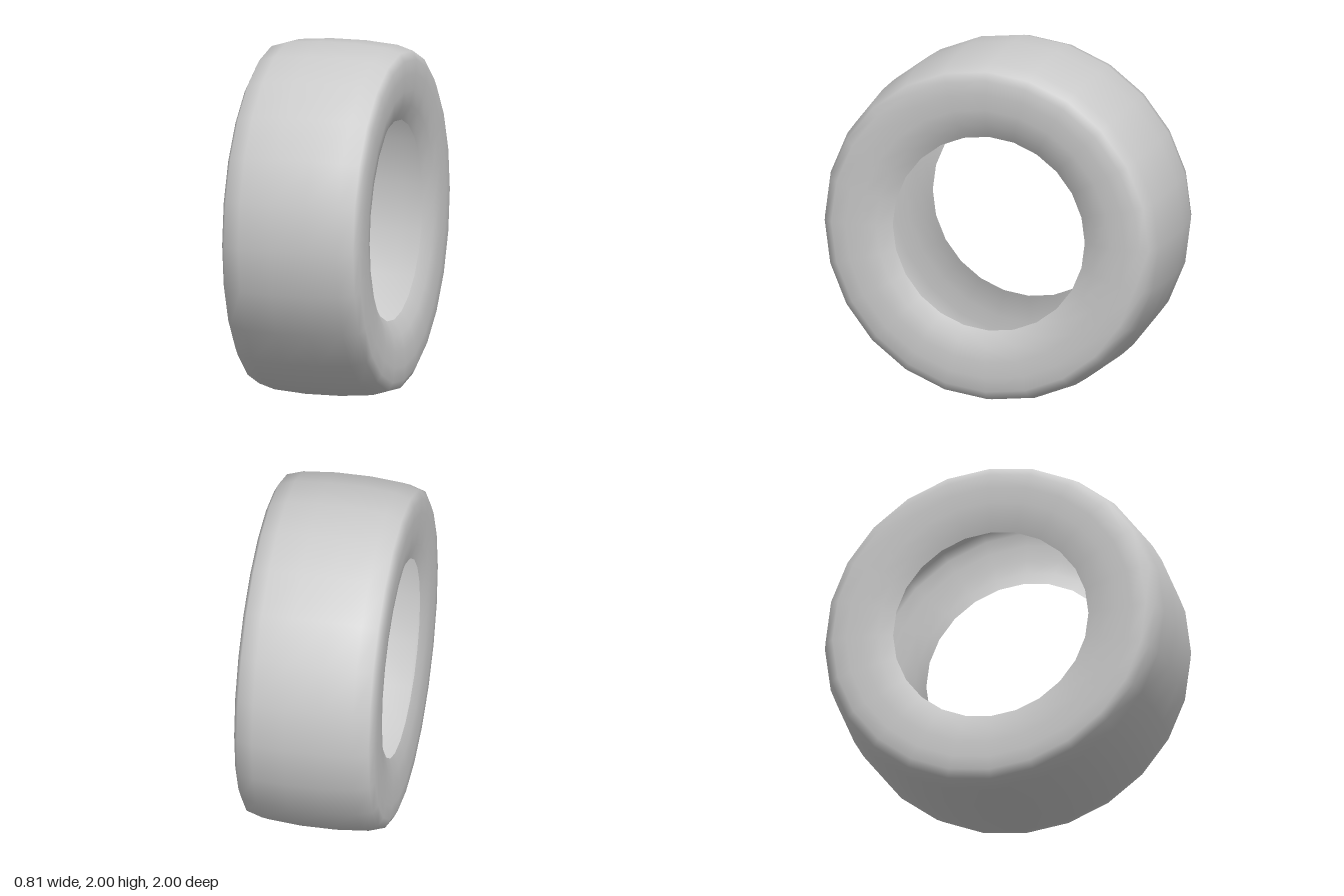
import * as THREE from 'three';

const SEGMENTS = 24;

// Half of the cross-section, [distance along axle, radius], from tread centre to sidewall
const shoulder = [
  [0.1, 1.0], [0.285, 0.985], [0.376, 0.957], [0.4, 0.91], [0.403, 0.83], [0.4, 0.74],
];

export function createModel() {
  const group = new THREE.Group();
  group.name = 'tyre';

  // Hollow open shell: the sidewalls roll in slightly towards the bead
  const right = [...shoulder, [0.385, 0.65], [0.34, 0.567]];
  const left = [...shoulder, [0.392, 0.65], [0.367, 0.567]];
  const profile = [
    ...left.reverse().map(([a, r]) => new THREE.Vector2(r, -a)),
    ...right.map(([a, r]) => new THREE.Vector2(r, a)),
  ];

  // Turn the profile and lay the axle along x
  const geometry = new THREE.LatheGeometry(profile, SEGMENTS);
  geometry.rotateZ(-Math.PI / 2);

  const tyre = new THREE.Mesh(
    geometry,
    new THREE.MeshStandardMaterial({ color: 0xcccccc, side: THREE.DoubleSide })
  );
  tyre.name = 'tyreShell';
  tyre.position.y = 1;
  group.add(tyre);
  return group;
}
